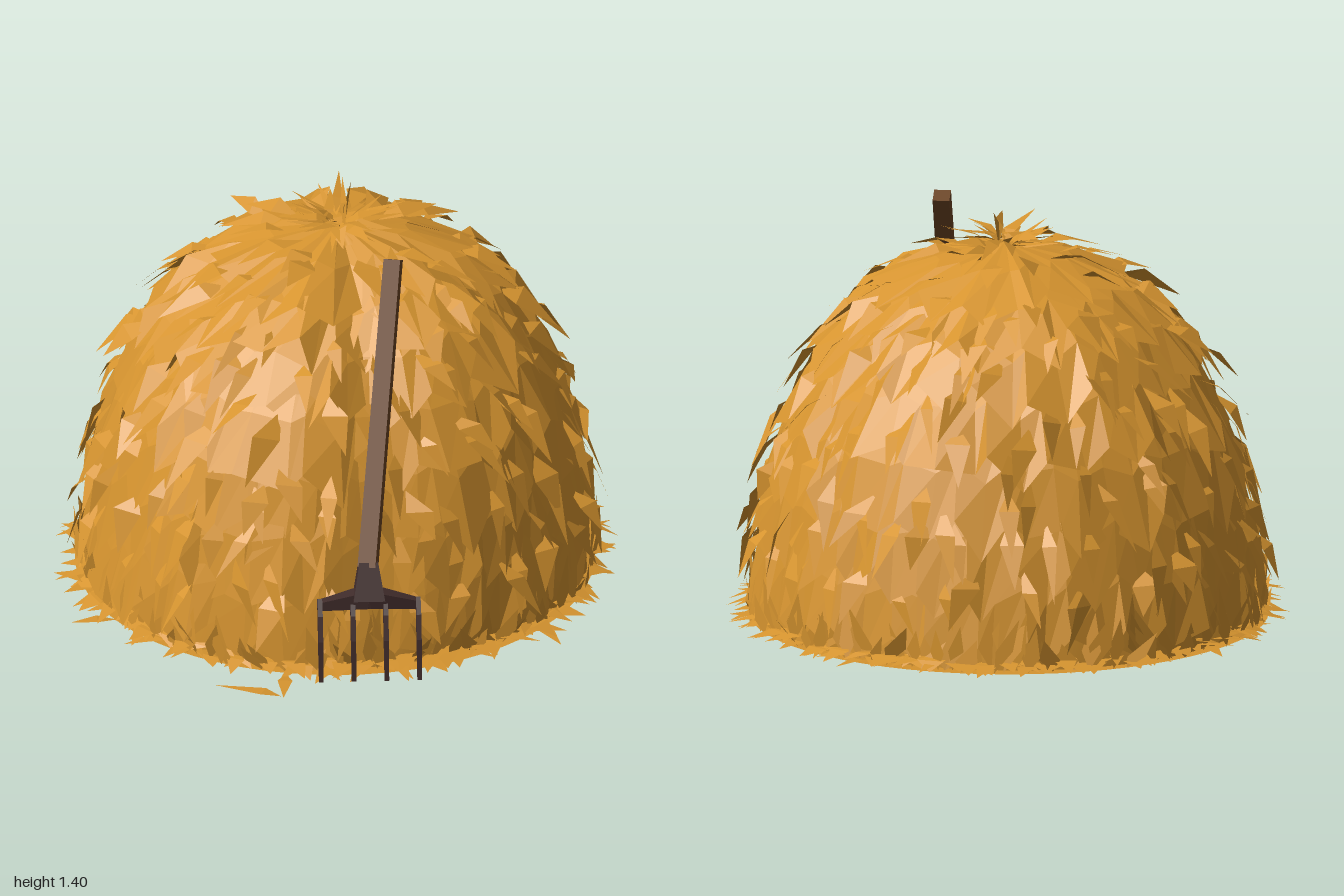
import * as THREE from 'three';

const V = (x, y, z) => new THREE.Vector3(x, y, z);
const TAU = Math.PI * 2;

export function createModel() {
  const straw = new THREE.MeshStandardMaterial({ name: 'straw', color: 0xd6942f, side: THREE.DoubleSide });
  const wood = new THREE.MeshStandardMaterial({ name: 'handle wood', color: 0x6b4423 });
  const iron = new THREE.MeshStandardMaterial({ name: 'dark iron', color: 0x402c2b });

  let seed = 7;
  const rnd = (a = 0, b = 1) => {
    seed = (seed * 1664525 + 1013904223) % 4294967296;
    return a + (b - a) * (seed / 4294967296);
  };

  const root = new THREE.Group();
  root.name = 'haystack';
  const add = (parent, name, geo, mat) => {
    const m = new THREE.Mesh(geo, mat);
    m.name = name;
    parent.add(m);
  };

  // Dome profile, from the peak (t = 0) to the ground (t = 1)
  const profile = new THREE.CatmullRomCurve3([
    [0, 1.27], [0.13, 1.24], [0.28, 1.18], [0.43, 1.095], [0.55, 0.98], [0.665, 0.79],
    [0.74, 0.6], [0.785, 0.4], [0.815, 0.2], [0.83, 0],
  ].map(([r, y]) => V(r, y, 0)));
  // Closeness to the strip where the pitchfork leans
  const nearFork = (a) => {
    const d = Math.atan2(Math.sin(a - 0.86), Math.cos(a - 0.86));
    return Math.exp(-((d / 0.17) ** 2));
  };
  // Point on the dome at angle a, lifted by off along the outward normal
  const surf = (a, t, off = 0) => {
    const u = Math.min(Math.max(t, 0), 1);
    const p = profile.getPointAt(u), d = profile.getTangentAt(u), f = nearFork(a);
    const lift = off * (1 - 0.75 * f) - 0.05 * f * Math.sin(Math.PI * u);
    const r = p.x * (1 + 0.01 * Math.sin(3 * a + 1)) - d.y * lift;
    return V(Math.sin(a) * r - 0.025 * u, Math.max(p.y + d.x * lift, 0.004), Math.cos(a) * r - 0.01 * u);
  };
  const fromPoints = (pts, index) => {
    const g = new THREE.BufferGeometry().setFromPoints(pts);
    if (index) g.setIndex(index);
    g.computeVertexNormals();
    return g;
  };

  // Solid core
  const A = 64, T = 16, core = [], coreIdx = [];
  for (let j = 0; j <= T; j++) for (let i = 0; i <= A; i++) core.push(surf((i / A) * TAU, j / T));
  for (let j = 0; j < T; j++) for (let i = 0; i < A; i++) {
    const a = j * (A + 1) + i, b = a + A + 1;
    coreIdx.push(a, b, a + 1, a + 1, b, b + 1);
  }
  add(root, 'hayCore', fromPoints(core, coreIdx), straw);
  add(root, 'underside', new THREE.CircleGeometry(0.87, A).rotateX(Math.PI / 2).translate(-0.025, 0.001, -0.01), straw);

  // Overlapping thatch skirts: stepped rings with ragged, flaring lower edges
  const thatch = [];
  [[0.01, 0.27], [0.14, 0.37], [0.24, 0.48], [0.35, 0.61], [0.47, 0.74], [0.6, 0.86], [0.73, 0.975]].forEach(([t0, t1], k) => {
    const n = 30 + k * 6, cols = [];
    for (let i = 0; i < n; i++) {
      const a = ((i + rnd(-0.35, 0.35)) / n) * TAU;
      const end = t1 + (i % 2 ? rnd(-0.01, 0.045) : rnd(-0.06, -0.005));
      const lift = rnd(0.02, 0.07) * (1.15 - 0.4 * t1);
      cols.push([surf(a, t0, 0.003), surf(a, (t0 + end) / 2, 0.006 + lift * 0.4), surf(a + rnd(-0.03, 0.03), end, lift)]);
    }
    cols.forEach((p, i) => {
      const q = cols[(i + 1) % n];
      for (let j = 0; j < 2; j++) thatch.push(p[j], p[j + 1], q[j], q[j], p[j + 1], q[j + 1]);
    });
  });
  add(root, 'thatchSkirts', fromPoints(thatch), straw);

  // A blade is a kite from root p to tip q, with its width along side
  const blade = (list, p, q, side, w, bulge) => {
    const m = p.clone().lerp(q, rnd(0.25, 0.45)).add(bulge);
    const l = m.clone().addScaledVector(side, -w / 2), r = m.clone().addScaledVector(side, w / 2);
    list.push(p, l, r, l, q, r);
  };
  const around = (a) => V(Math.cos(a), 0, -Math.sin(a));

  // Loose blades peeling away from the dome
  const loose = [];
  for (let row = 0; row < 9; row++) {
    const t = 0.12 + row * 0.085, n = 14 + row * 3;
    for (let i = 0; i < n; i++) {
      const a = ((i + rnd(-0.5, 0.5)) / n) * TAU, u = t + rnd(-0.04, 0.04), len = rnd(0.09, 0.16);
      const side = around(a).addScaledVector(surf(a, u, 1).sub(surf(a, u)).normalize(), rnd(-0.7, 0.7)).normalize();
      blade(loose, surf(a, u, 0.01), surf(a + rnd(-0.13, 0.13), u + len, rnd(0.05, 0.115)),
        side, rnd(0.05, 0.1), surf(a, u, 0.025).sub(surf(a, u)));
    }
  }
  add(root, 'looseBlades', fromPoints(loose), straw);

  // Upright tufts round the foot
  const tufts = [];
  for (let i = 0; i < 120; i++) {
    const a = ((i + rnd(-0.5, 0.5)) / 120) * TAU, h = rnd(0.08, 0.22);
    const p = surf(a, 1, rnd(0.01, 0.05)), q = surf(a + rnd(-0.13, 0.13), 1 - h / 1.7, rnd(0.03, 0.075));
    blade(tufts, p, q, around(a + rnd(-0.5, 0.5)), rnd(0.04, 0.08), V(0, 0, 0));
  }
  add(root, 'footTufts', fromPoints(tufts), straw);

  // Flat straw lying on the ground
  const litter = [];
  for (let i = 0; i < 170; i++) {
    const a = ((i + rnd(-0.5, 0.5)) / 170) * TAU, b = a + rnd(-0.14, 0.14);
    const r0 = rnd(0.79, 0.84), r1 = rnd(0.87, 0.965);
    blade(litter, V(Math.sin(a) * r0 - 0.025, rnd(0.015, 0.05), Math.cos(a) * r0 - 0.01),
      V(Math.sin(b) * r1 - 0.02, rnd(0.004, 0.025), Math.cos(b) * r1 - 0.01), around(a), rnd(0.05, 0.1), V(0, 0.006, 0));
  }
  [[0.82, -0.03, 0.98, 0.04], [-0.84, -0.05, -0.985, -0.15], [-0.02, -0.84, 0.01, -0.99], [0.48, 0.92, 0.25, 0.99],
    [0.39, 0.78, 0.49, 0.92], [-0.3, 0.82, -0.41, 0.93], [0.0, 0.84, -0.01, 0.94]].forEach(([x0, z0, x1, z1]) => {
    const s = V(z1 - z0, 0, x0 - x1).normalize();
    blade(litter, V(x0, 0.01, z0), V(x1, 0.008, z1), s, 0.05, V(0, 0.008, 0));
  });
  add(root, 'groundStraw', fromPoints(litter), straw);

  // Splayed topknot with two upright stalks
  const knot = [];
  for (let i = 0; i < 40; i++) {
    const a = (i / 40) * TAU * 3 + rnd(-0.2, 0.2), r = rnd(0.1, 0.24);
    blade(knot, V(rnd(-0.03, 0.03), rnd(1.23, 1.28), rnd(-0.03, 0.03)),
      V(Math.sin(a) * r, rnd(1.24, 1.345), Math.cos(a) * r),
      around(a).setY(rnd(-0.6, 0.6)), rnd(0.03, 0.055), V(0, 0.015, 0));
  }
  blade(knot, V(0.04, 1.24, 0.02), V(-0.04, 1.4, -0.07), V(0.8, 0.5, 0.3), 0.05, V(0, 0.04, 0));
  blade(knot, V(0.02, 1.24, 0.0), V(-0.01, 1.39, -0.08), V(0.3, 0.4, 0.8), 0.05, V(0, 0.04, 0));
  add(root, 'topknot', fromPoints(knot), straw);

  // Faceted four-sided bar between two points
  const bar = (p, q, r0, r1) => {
    const d = q.clone().sub(p), mid = p.clone().lerp(q, 0.5);
    const g = new THREE.CylinderGeometry(r1, r0, d.length(), 4, 1).toNonIndexed()
      .rotateY(Math.PI / 4).rotateX(Math.acos(d.y / d.length())).rotateY(Math.atan2(d.x, d.z))
      .translate(mid.x, mid.y, mid.z);
    g.computeVertexNormals();
    return g;
  };

  // Pitchfork leaning on the stack
  const fork = new THREE.Group();
  fork.name = 'pitchfork';
  root.add(fork);
  const top = V(0.39, 1.335, 0.2), neck = V(0.605, 0.41, 0.61), hub = V(0.625, 0.305, 0.63);
  add(fork, 'handle', bar(neck, top, 0.043, 0.04), wood);
  add(fork, 'socket', bar(hub, neck.clone().lerp(top, 0.02), 0.075, 0.045), iron);

  // Head, built facing +z and then turned to lean with the handle
  const head = new THREE.Group();
  head.name = 'forkHead';
  head.position.set(hub.x, 0, hub.z);
  head.rotation.y = 0.72;
  fork.add(head);
  [-1, 1].forEach((s) => add(head, 'shoulder', bar(V(0, 0.315, 0), V(s * 0.17, 0.285, 0), 0.045, 0.02), iron));
  // Curved, blade-like tines, thin from side to side
  const claw = new THREE.Shape();
  claw.moveTo(-0.02, 0.3);
  [[0.01, 0.315], [0.055, 0.27], [0.085, 0.19], [0.105, 0.05], [0.05, 0.16], [0.02, 0.24]].forEach(([x, y]) => claw.lineTo(x, y));
  const tine = new THREE.ExtrudeGeometry(claw, { depth: 0.016, bevelEnabled: false }).translate(0, 0, -0.008).rotateY(-Math.PI / 2);
  [-0.165, -0.055, 0.055, 0.165].forEach((x) => add(head, 'tine', tine.clone().translate(x, 0, 0), iron));
  return root;
}
